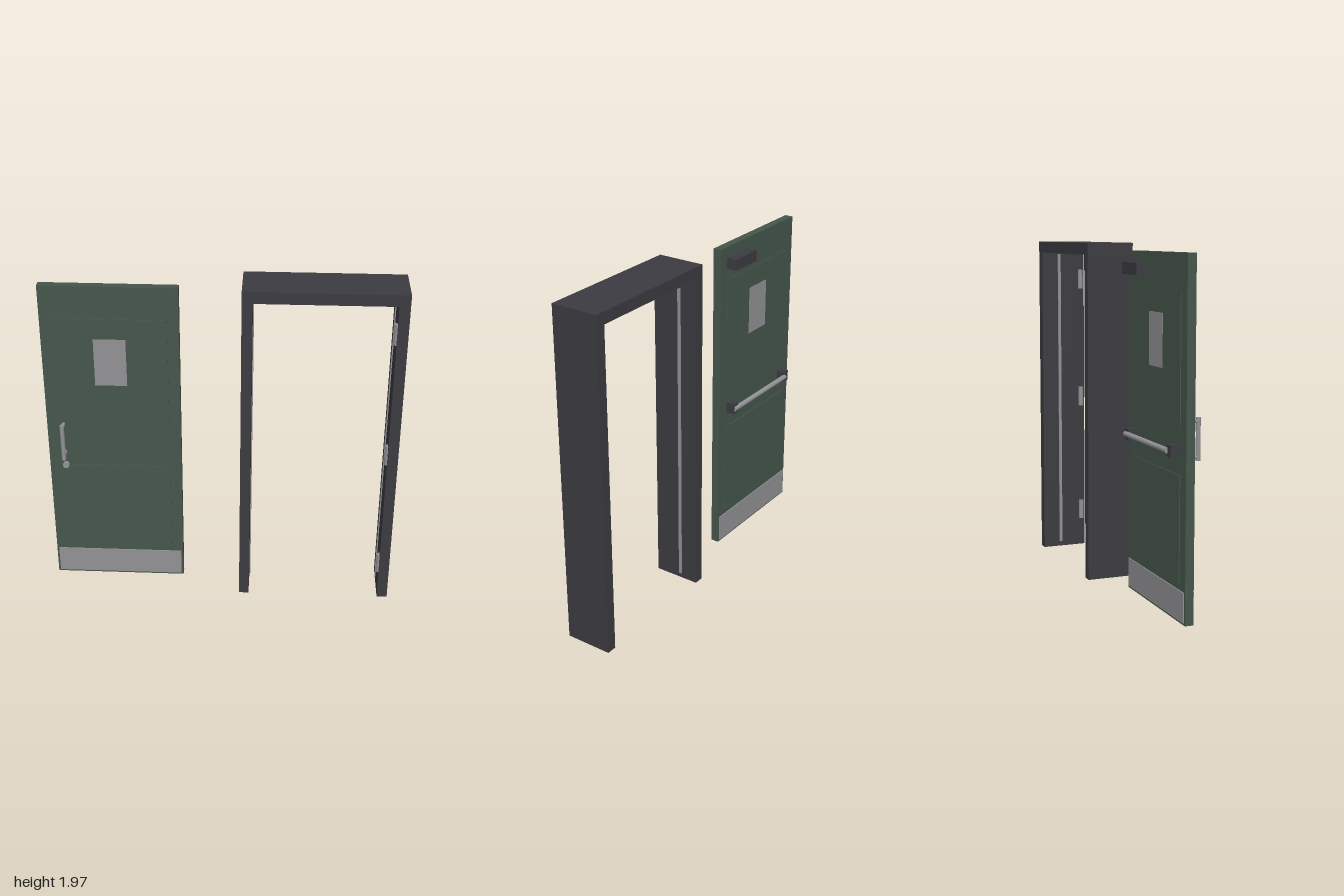
import * as THREE from 'three';

export function createModel() {
  const mat = (name, color) => {
    const m = new THREE.MeshStandardMaterial({ color });
    m.name = name;
    return m;
  };
  const green = mat('door green', 0x46564c);
  const dark = mat('frame charcoal', 0x3c3b41);
  const steel = mat('brushed steel', 0x929296);

  const model = new THREE.Group();
  const door = new THREE.Group();
  door.name = 'door';
  const frame = new THREE.Group();
  frame.name = 'frame';
  model.add(door, frame);

  // box given by its limits on each axis
  const box = (parent, name, m, [x0, x1], [y0, y1], [z0, z1]) => {
    const mesh = new THREE.Mesh(new THREE.BoxGeometry(x1 - x0, y1 - y0, z1 - z0), m);
    mesh.position.set((x0 + x1) / 2, (y0 + y1) / 2, (z0 + z1) / 2);
    mesh.name = name;
    parent.add(mesh);
  };
  // round bar along one axis
  const rod = (parent, name, m, r, length, axis, x, y, z) => {
    const g = new THREE.CylinderGeometry(r, r, length, 20);
    if (axis === 'x') g.rotateZ(Math.PI / 2);
    if (axis === 'z') g.rotateX(Math.PI / 2);
    const mesh = new THREE.Mesh(g, m);
    mesh.position.set(x, y, z);
    mesh.name = name;
    parent.add(mesh);
  };

  // door leaf
  box(door, 'doorLeaf', green, [-1, -0.235], [0.04, 1.93], [-0.024, 0.024]);

  // raised panels, window and kick plate on both faces
  for (const s of [1, -1]) {
    const depth = (t) => (s > 0 ? [0.023, 0.024 + t] : [-0.024 - t, -0.023]);
    box(door, 'upperPanel', green, [-0.93, -0.30], [1.06, 1.74], depth(0.005));
    box(door, 'lowerPanel', green, [-0.93, -0.30], [0.245, 0.81], depth(0.005));
    box(door, 'window', steel, [-0.71, -0.53], [1.335, 1.62], depth(0.006));
    box(door, 'kickPlate', steel, [-0.988, -0.247], [0.052, 0.213], depth(0.006));
  }

  // pull handle and lock on the front
  rod(door, 'pullBar', steel, 0.0125, 0.225, 'y', -0.906, 0.988, 0.085);
  for (const y of [0.895, 1.08]) rod(door, 'pullStandoff', steel, 0.01, 0.07, 'z', -0.906, y, 0.054);
  rod(door, 'lockCylinder', steel, 0.019, 0.024, 'z', -0.906, 0.81, 0.032);

  // push bar on the back
  rod(door, 'pushBar', steel, 0.015, 0.57, 'x', -0.6, 0.935, -0.076);
  for (const x of [-0.9, -0.335]) {
    box(door, 'pushBarBlock', dark, [x - 0.022, x + 0.022], [0.903, 0.967], [-0.077, -0.022]);
  }

  // closer box
  box(door, 'closer', dark, [-0.5, -0.295], [1.805, 1.87], [-0.09, -0.022]);

  // frame: two jambs and a header
  const z = [-0.138, 0.138];
  box(frame, 'leftJamb', dark, [0.935, 0.995], [0, 1.9], z);
  box(frame, 'rightJamb', dark, [0.108, 0.165], [0, 1.9], z);
  box(frame, 'header', dark, [0.108, 0.995], [1.9, 1.967], z);

  // seal strips inside the jambs
  box(frame, 'leftSeal', steel, [0.929, 0.936], [0.03, 1.89], [-0.036, -0.018]);
  box(frame, 'rightSeal', steel, [0.164, 0.171], [0.03, 1.89], [-0.036, -0.018]);

  // hinge barrels
  for (const y of [0.235, 0.98, 1.73]) rod(frame, 'hinge', steel, 0.016, 0.12, 'y', 0.935, y, 0.115);

  return model;
}
